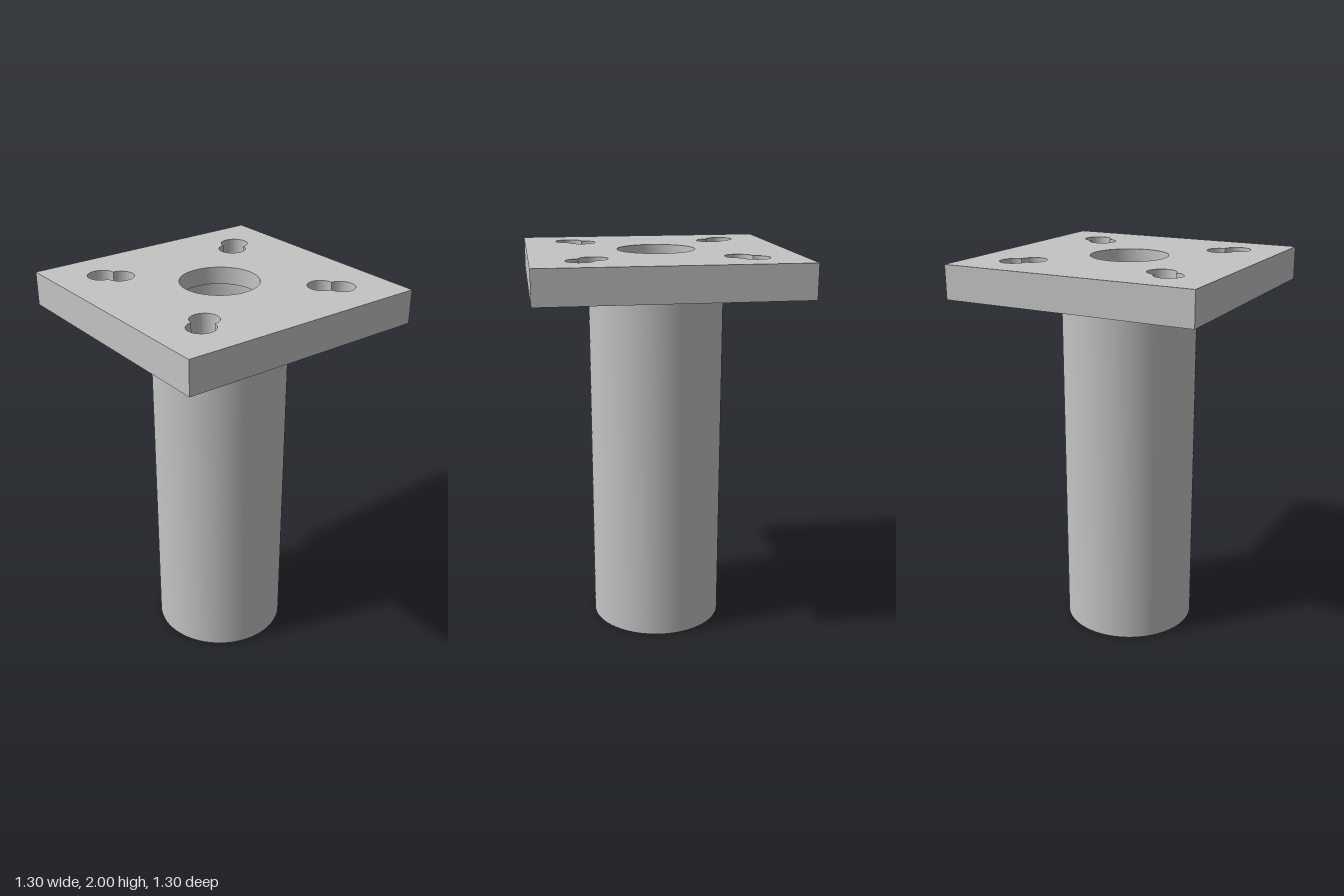
import * as THREE from 'three';
import { mergeGeometries, toCreasedNormals } from 'three/addons/utils/BufferGeometryUtils.js';

const SEG = 96;
const HALF = 0.65, TOP = 2, UNDER = 1.83; // square plate
const LIP_R = 0.197, LIP_Y = 1.912;       // narrow opening at the top
const BORE_R = 0.268, TUBE_R = 0.345;     // hollow tube

// Points of an arc, end excluded
function arc(cx, cy, r, from, to, n) {
  return Array.from({ length: n }, (_, i) => {
    const a = from + (to - from) * i / n;
    return new THREE.Vector2(cx + r * Math.cos(a), cy + r * Math.sin(a));
  });
}

// Clockwise outline of two overlapping round holes lying along a diagonal
function doubleHole(sx, sy) {
  const r = 0.07, inner = 0.348, outer = 0.414;
  const half = (outer - inner) * Math.SQRT2 / 2;
  const sweep = Math.PI - Math.acos(half / r);
  const phi = Math.atan2(sy, sx);
  return [
    ...arc(outer * sx, outer * sy, r, phi + sweep, phi - sweep, 36),
    ...arc(inner * sx, inner * sy, r, phi + Math.PI + sweep, phi + Math.PI - sweep, 36),
  ];
}

// Flat face of the plate with a round centre opening and the slots
function face(outline, slots, centreRadius, y, up) {
  const shape = new THREE.Shape(outline);
  const centre = arc(0, 0, centreRadius, 0, -Math.PI * 2, SEG);
  shape.holes = [centre, ...slots].map((pts) => new THREE.Path(pts));
  const g = new THREE.ShapeGeometry(shape);
  g.rotateX(up ? -Math.PI / 2 : Math.PI / 2).translate(0, y, 0);
  return g.toNonIndexed().deleteAttribute('uv');
}

// Upright wall following a closed loop, facing the right-hand side of travel
function wall(loop, y0, y1) {
  const pos = [];
  loop.forEach((a, i) => {
    const b = loop[(i + 1) % loop.length];
    pos.push(a.x, y0, -a.y, b.x, y0, -b.y, b.x, y1, -b.y);
    pos.push(a.x, y0, -a.y, b.x, y1, -b.y, a.x, y1, -a.y);
  });
  const g = new THREE.BufferGeometry();
  g.setAttribute('position', new THREE.Float32BufferAttribute(pos, 3));
  g.computeVertexNormals();
  return g;
}

export function createModel() {
  const group = new THREE.Group();
  group.name = 'flangedTube';
  const grey = new THREE.MeshStandardMaterial({ color: 0xc4c4c4 });
  grey.name = 'light grey';

  // Square mounting plate with four double holes
  const outline = [[-1, -1], [1, -1], [1, 1], [-1, 1]]
    .map(([x, y]) => new THREE.Vector2(x * HALF, y * HALF));
  const slots = [[1, 1], [-1, 1], [-1, -1], [1, -1]].map(([x, y]) => doubleHole(x, y));
  const plateGeometry = mergeGeometries([
    face(outline, slots, LIP_R, TOP, true),
    face(outline, slots, TUBE_R, UNDER, false),
    ...[outline, ...slots].map((loop) => wall(loop, UNDER, TOP)),
  ]);
  const plate = new THREE.Mesh(toCreasedNormals(plateGeometry, 0.6), grey);
  plate.name = 'mountingPlate';

  // Hollow tube, its bore stopping under the narrower lip in the plate
  const profile = [
    [LIP_R, TOP], [LIP_R, LIP_Y], [BORE_R, LIP_Y], [BORE_R, 0], [TUBE_R, 0], [TUBE_R, UNDER],
  ].map(([r, y]) => new THREE.Vector2(r, y));
  const tube = new THREE.Mesh(toCreasedNormals(new THREE.LatheGeometry(profile, SEG), 0.6), grey);
  tube.name = 'tube';

  group.add(plate, tube);
  return group;
}
